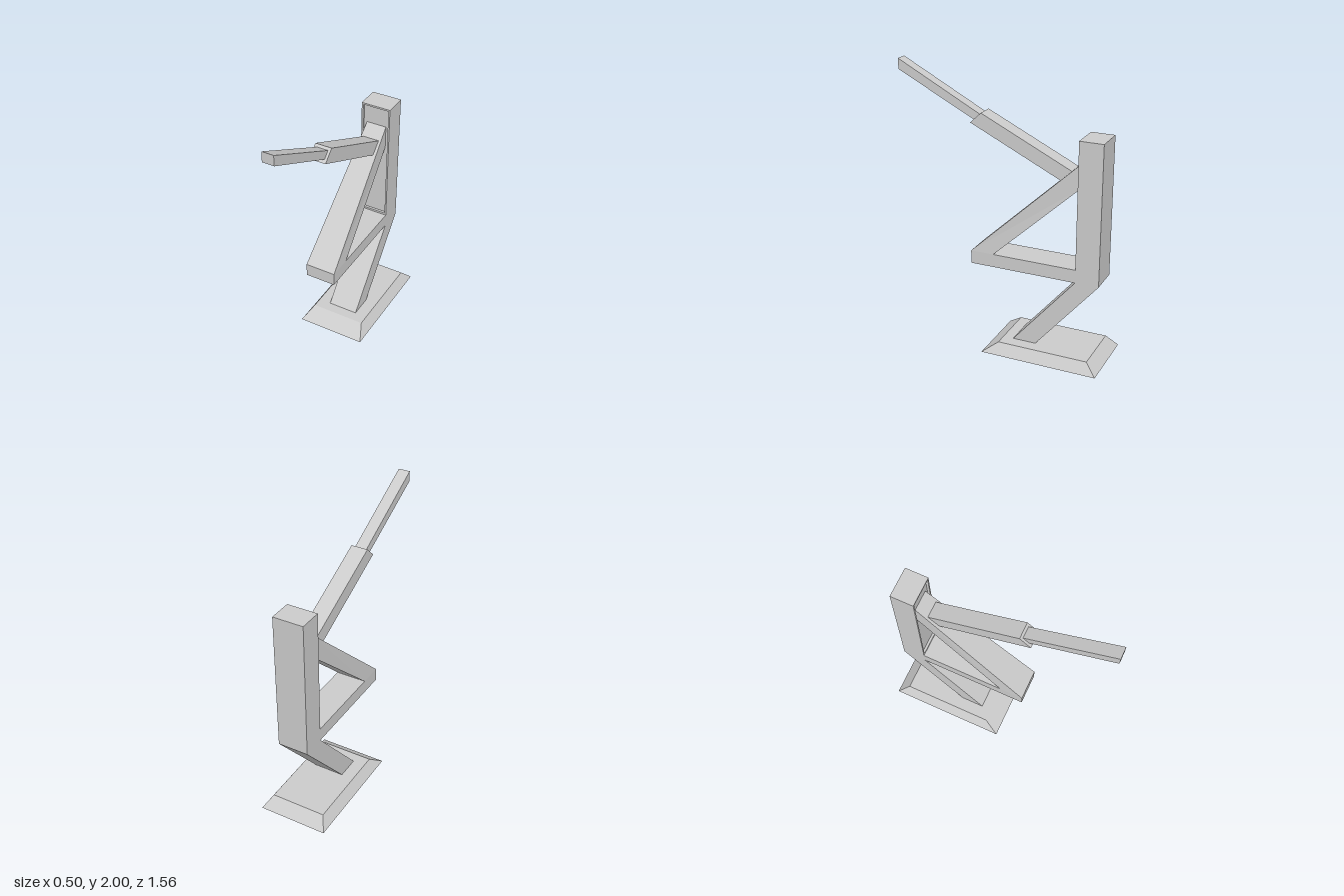
import * as THREE from 'three';

const material = new THREE.MeshStandardMaterial({ color: 0xcccccc, flatShading: true });

// Solid from a four-sided side profile; each corner is [z, y, half width],
// listed anticlockwise as seen from +x.
function prism(name, corners) {
  const right = corners.map(([z, y, w]) => [w, y, z]);
  const left = corners.map(([z, y, w]) => [-w, y, z]);
  const positions = [];
  const quad = (a, b, c, d) => positions.push(...a, ...b, ...c, ...a, ...c, ...d);
  quad(...right);
  quad(...[...left].reverse());
  for (let i = 0; i < 4; i++) {
    const j = (i + 1) % 4;
    quad(right[i], left[i], left[j], right[j]);
  }
  const geometry = new THREE.BufferGeometry();
  geometry.setAttribute('position', new THREE.Float32BufferAttribute(positions, 3));
  geometry.computeVertexNormals();
  return named(name, geometry);
}

function named(name, geometry) {
  const mesh = new THREE.Mesh(geometry, material);
  mesh.name = name;
  return mesh;
}

function rectangle(Type, w, y0, y1) {
  const path = new Type();
  path.moveTo(-w, y0).lineTo(w, y0).lineTo(w, y1).lineTo(-w, y1).closePath();
  return path;
}

// Upright column with a shallow recessed panel in its front
function createColumn() {
  const W = 0.11, back = -0.735, panel = -0.585, front = -0.567;
  const column = new THREE.Group();
  column.name = 'column';

  const core = named('columnCore', new THREE.BoxGeometry(W * 2, 1, panel - back));
  core.position.set(0, 1.11, (panel + back) / 2);

  const shape = rectangle(THREE.Shape, W, 0.61, 1.61);
  shape.holes.push(rectangle(THREE.Path, 0.098, 0.72, 1.597));
  const rim = named('columnRim', new THREE.ExtrudeGeometry(shape, { depth: front - panel, bevelEnabled: false }));
  rim.position.z = panel;

  column.add(core, rim);
  return column;
}

export function createModel() {
  const model = new THREE.Group();
  model.name = 'postWithArm';
  const W = 0.11;

  model.add(
    // Bevelled foot plate
    prism('base', [[0.07, 0, 0.25], [-0.78, 0, 0.25], [-0.70, 0.08, 0.2], [-0.04, 0.08, 0.2]]),
    // Leaning lower leg
    prism('leg', [[-0.115, 0.08, W], [-0.285, 0.08, W], [-0.735, 0.61, W], [-0.567, 0.61, W]]),
    createColumn(),
    // Forward shelf bar
    prism('horizontalBar', [[0.21, 0.61, W], [-0.567, 0.61, W], [-0.567, 0.705, W], [0.21, 0.705, W]]),
    // Brace that narrows towards the column
    prism('diagonalBrace', [[0.21, 0.705, W], [0.04, 0.705, W], [-0.585, 1.285, 0.075], [-0.585, 1.455, 0.075]]),
    // Two-stage raised arm
    prism('armLower', [[0.23, 1.62, 0.06], [-0.43, 1.305, 0.06], [-0.508, 1.38, 0.06], [0.15, 1.695, 0.06]]),
    prism('armUpper', [[0.78, 1.925, 0.042], [0.21, 1.638, 0.042], [0.165, 1.68, 0.042], [0.78, 2, 0.042]]),
  );
  return model;
}
